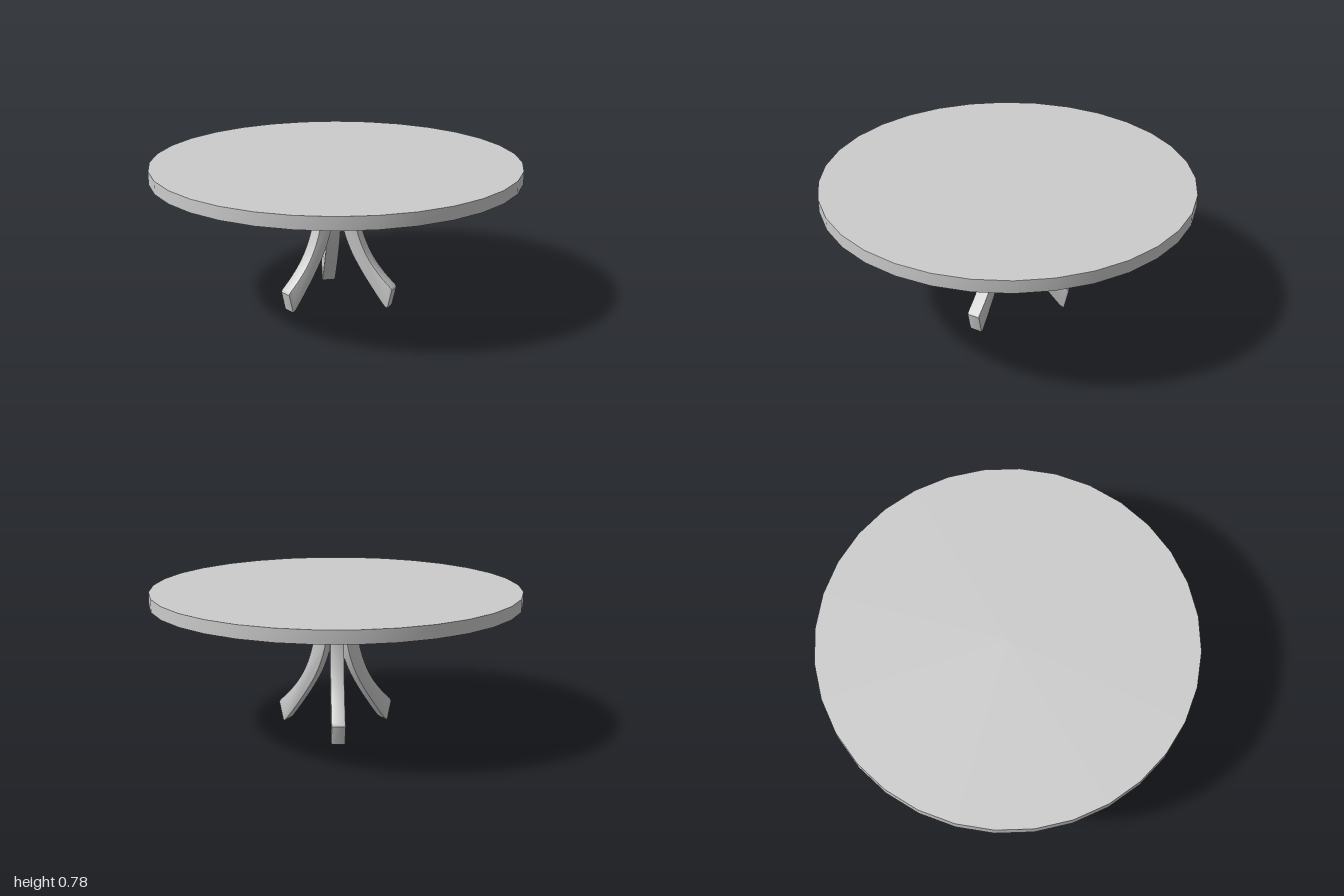
import * as THREE from 'three';
import { toCreasedNormals } from 'three/addons/utils/BufferGeometryUtils.js';

const material = new THREE.MeshStandardMaterial({ color: 0xcccccc });

function part(name, geometry) {
  const mesh = new THREE.Mesh(toCreasedNormals(geometry, 0.5), material);
  mesh.name = name;
  return mesh;
}

// Curved leg: side outline swept outward along +x, extruded to its width with softened edges
function legGeometry() {
  const v = (x, y) => new THREE.Vector2(x, y);
  const outline = new THREE.Shape();
  outline.moveTo(0.032, 0.695);
  outline.lineTo(0.032, 0.6);
  outline.splineThru([v(0.041, 0.5), v(0.064, 0.4), v(0.104, 0.3), v(0.164, 0.2), v(0.235, 0.1), v(0.29, 0.022)].map(
    (p, i) => v(p.x + [0, 0, 0, 0, 0.003, 0.005][i], p.y - [0, 0, 0, 0.003, 0.01, 0.008][i])));
  outline.lineTo(0.314, 0);
  outline.lineTo(0.32, 0.006);
  outline.lineTo(0.344, 0.108);
  outline.lineTo(0.338, 0.121);
  outline.splineThru([v(0.275, 0.183), v(0.215, 0.258), v(0.17, 0.34), v(0.138, 0.43), v(0.119, 0.52), v(0.108, 0.62)]);
  outline.lineTo(0.107, 0.695);
  outline.lineTo(0.1, 0.705);
  outline.lineTo(0.04, 0.705);
  outline.closePath();
  const bevel = 0.008, width = 0.076;
  const geometry = new THREE.ExtrudeGeometry(outline, {
    depth: width - 2 * bevel,
    bevelThickness: bevel,
    bevelSize: bevel,
    bevelOffset: -bevel,
    bevelSegments: 2,
    curveSegments: 16,
  });
  return geometry.translate(0, 0, bevel - width / 2);
}

export function createModel() {
  const table = new THREE.Group();
  table.name = 'roundTable';

  // Thick round top
  const top = part('tableTop', new THREE.CylinderGeometry(1, 1, 0.07, 32));
  top.position.y = 0.745;
  table.add(top);

  // Base: three splayed legs around a short hub
  const base = new THREE.Group();
  base.name = 'base';
  base.position.z = 0.003;
  const hub = part('hub', new THREE.CylinderGeometry(0.04, 0.04, 0.125, 24));
  hub.position.y = 0.6525;
  base.add(hub);
  const geometry = legGeometry();
  for (let i = 0; i < 3; i++) {
    const leg = part('leg' + (i + 1), geometry);
    leg.rotation.y = (i * Math.PI * 2) / 3;
    base.add(leg);
  }
  table.add(base);
  return table;
}
